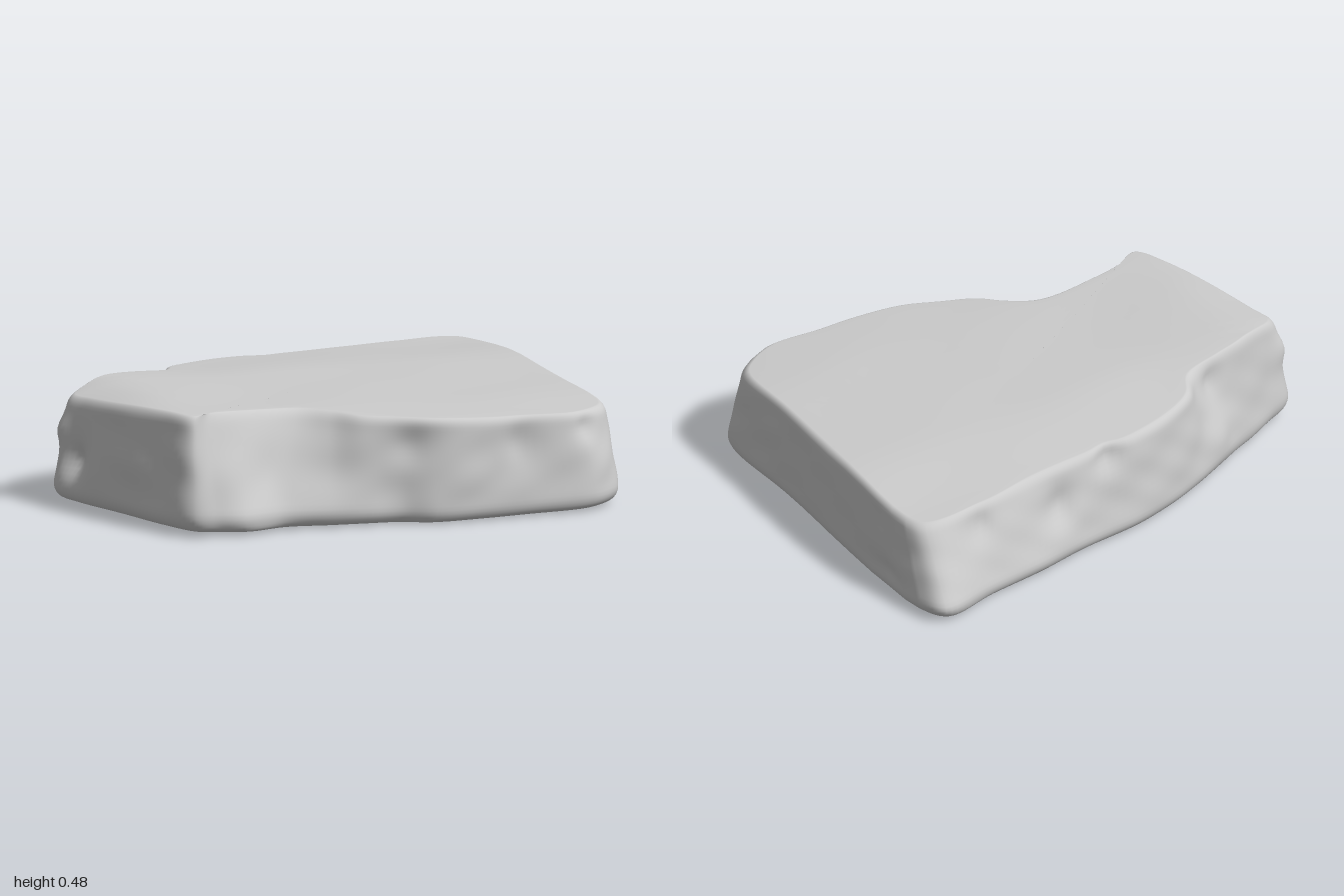
import * as THREE from 'three';

// Foot and top-edge outlines of the slab, paired: [footX, footZ, topX, topZ]
const OUTLINE = [
  [0.985, 0.30, 0.97, 0.30], [0.985, 0.69, 0.955, 0.63], [0.94, 0.745, 0.89, 0.70],
  [0.84, 0.79, 0.79, 0.75], [0.60, 0.77, 0.58, 0.745], [0.40, 0.755, 0.38, 0.735],
  [0.20, 0.73, 0.19, 0.70], [0.08, 0.67, 0.06, 0.64], [-0.05, 0.64, -0.06, 0.58],
  [-0.20, 0.61, -0.15, 0.49], [-0.38, 0.57, -0.26, 0.42], [-0.55, 0.59, -0.50, 0.42],
  [-0.65, 0.56, -0.64, 0.44], [-0.745, 0.525, -0.73, 0.48], [-0.82, 0.38, -0.80, 0.35],
  [-0.90, 0.14, -0.88, 0.12], [-0.98, -0.08, -0.93, -0.07], [-1.0, -0.20, -0.95, -0.17],
  [-0.90, -0.26, -0.87, -0.23], [-0.79, -0.32, -0.74, -0.29], [-0.70, -0.36, -0.62, -0.32],
  [-0.60, -0.41, -0.47, -0.36], [-0.42, -0.50, -0.40, -0.46], [-0.28, -0.56, -0.27, -0.53],
  [-0.08, -0.62, -0.07, -0.58], [0.20, -0.66, 0.18, -0.59], [0.42, -0.71, 0.42, -0.61],
  [0.68, -0.755, 0.66, -0.65], [0.92, -0.81, 0.92, -0.65], [0.985, -0.70, 0.97, -0.56],
];

// Chips and bumps: [x, y, z, radius, depth]; negative depth bulges outward
const CHIPS = [
  [0.12, 0.30, 0.70, 0.12, 0.03], [0.56, 0.30, 0.76, 0.10, 0.03],
  [-0.45, 0.20, 0.52, 0.13, 0.025], [-0.95, 0.19, -0.10, 0.08, 0.05],
  [-0.98, 0.31, -0.20, 0.08, -0.03], [0.98, 0.10, -0.52, 0.07, 0.04],
  [0.30, 0.24, -0.66, 0.10, 0.04], [0.05, 0.36, -0.60, 0.08, 0.03],
  [-0.55, 0.18, -0.42, 0.12, -0.025], [-0.58, 0.38, -0.36, 0.07, 0.03],
  [0.70, 0.30, -0.70, 0.09, 0.03], [0.83, 0.33, 0.75, 0.07, 0.02],
];

const CENTRE = { x: 0.1, z: 0 };
const { smoothstep, lerp, clamp } = THREE.MathUtils;

const topY = (x, z) => 0.437 - 0.038 * x
  + 0.016 * (1 - smoothstep(x, -0.75, -0.3))
  - 0.055 * (1 - smoothstep(x, -1.0, -0.74))
  - 0.035 * (1 - smoothstep(z, -0.7, -0.15))
  - 0.012 * smoothstep(z, 0.4, 0.8)
  + 0.002 * Math.sin(9 * x + 4 * z) * Math.sin(7 * z - 3 * x);

const bottomY = (x, z) => 0.004 + 0.019 * (x - 0.25) ** 2 + 0.008 * z * z;

const roughness = (x, y, z) =>
  0.006 * Math.sin(11 * x + 9 * y + 3) * Math.sin(10 * z - 13 * y)
  + 0.004 * Math.sin(23 * x - 17 * y) * Math.cos(21 * z + 19 * y);

// Quarter-round inset, from "amount" at the edge to zero at distance "reach"
function rounding(distance, reach, amount) {
  const u = clamp(1 - distance / reach, 0, 1);
  return amount * (1 - Math.sqrt(1 - u * u));
}

function buildSlab() {
  const closed = (a, b) => new THREE.CatmullRomCurve3(
    OUTLINE.map(p => new THREE.Vector3(p[a], 0, p[b])), true, 'centripetal');
  const foot = closed(0, 1), top = closed(2, 3);
  const SEGMENTS = 240, WALL = 26, CAP = 12;

  // Rings run from the middle of the underside, up the wall, to the middle of the top
  const rings = [];
  for (let i = 0; i < CAP; i++) rings.push({ f: 0, s: i / CAP });
  for (let i = 0; i <= WALL; i++) rings.push({ f: (1 - Math.cos(Math.PI * i / WALL)) / 2, s: 1 });
  for (let i = CAP - 1; i >= 0; i--) rings.push({ f: 1, s: i / CAP });

  const positions = [], indices = [];
  rings.forEach(({ f, s }, j) => {
    for (let i = 0; i < SEGMENTS; i++) {
      const t = i / SEGMENTS;
      const p = foot.getPoint(t).lerp(top.getPoint(t), clamp((f - 0.15) / 0.85, 0, 1));
      const dx = p.x - CENTRE.x, dz = p.z - CENTRE.z, r = Math.hypot(dx, dz);
      const y = lerp(bottomY(p.x, p.z), topY(p.x, p.z), f);

      // Rounded rims, weathering and chips all move the wall along its radius
      let inset = rounding(f, 0.14, 0.045) + rounding(1 - f, 0.09, 0.025);
      inset += roughness(p.x, y, p.z) * Math.sin(Math.PI * f);
      for (const [cx, cy, cz, radius, depth] of CHIPS) {
        const d2 = (p.x - cx) ** 2 + (y - cy) ** 2 + (p.z - cz) ** 2;
        inset += depth * Math.exp(-2 * d2 / radius ** 2);
      }
      const k = s * (1 - inset / r);
      const x = CENTRE.x + dx * k, z = CENTRE.z + dz * k;
      positions.push(x, lerp(bottomY(x, z), topY(x, z), f), z);

      if (j < rings.length - 1) {
        const a = j * SEGMENTS + i, b = j * SEGMENTS + (i + 1) % SEGMENTS;
        const c = a + SEGMENTS, d = b + SEGMENTS;
        indices.push(a, c, b, b, c, d);
      }
    }
  });

  const geometry = new THREE.BufferGeometry();
  geometry.setAttribute('position', new THREE.Float32BufferAttribute(positions, 3));
  geometry.setIndex(indices);
  geometry.computeVertexNormals();
  return geometry;
}

export function createModel() {
  const group = new THREE.Group();
  group.name = 'stoneSlab';
  const slab = new THREE.Mesh(buildSlab(), new THREE.MeshStandardMaterial({ color: 0xcccccc }));
  slab.name = 'slab';
  group.add(slab);
  return group;
}
